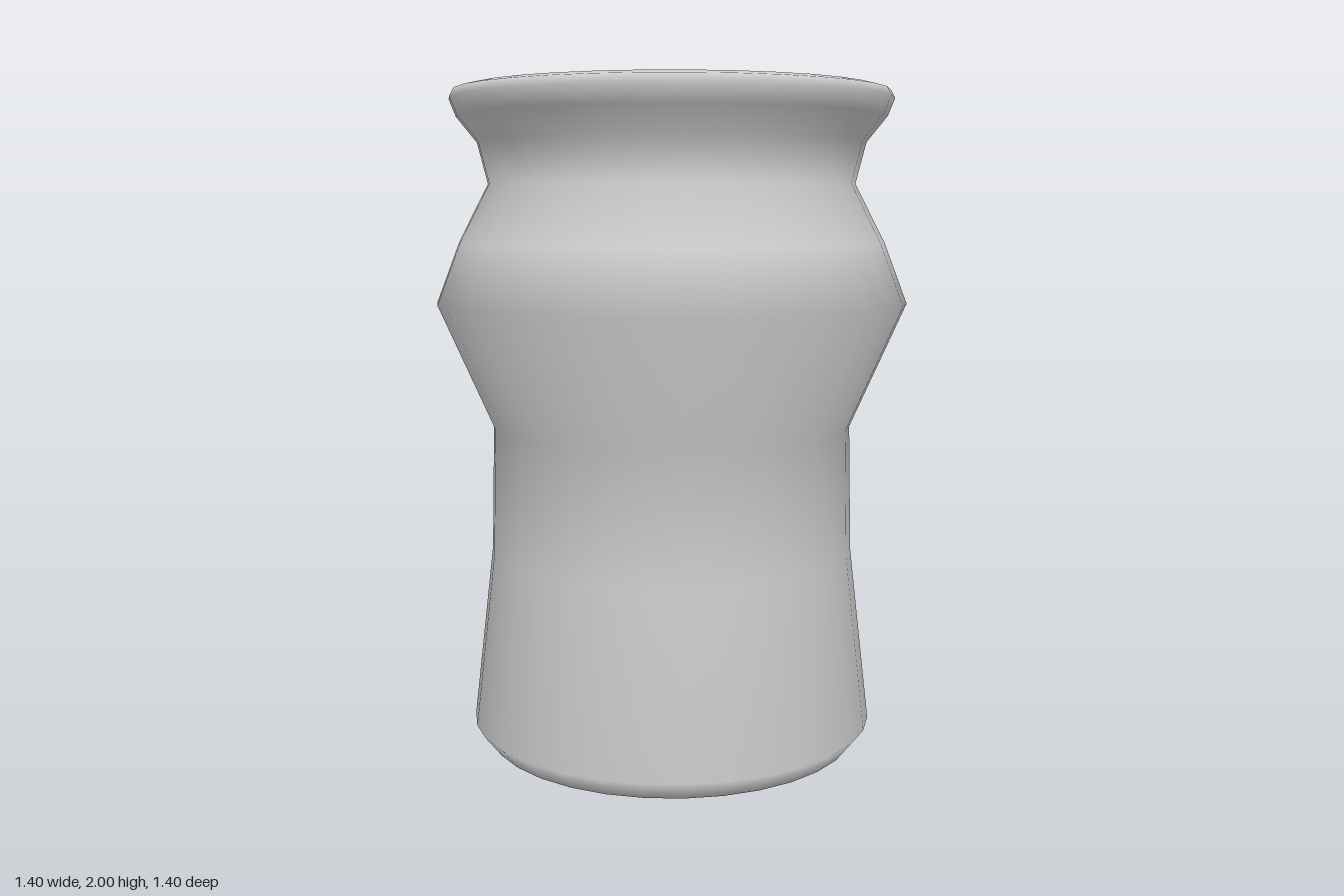
import * as THREE from 'three';

const SEGMENTS = 32;

// Outside of the jar, from the middle of the base up to the crown of the lip
const outer = [
  [0, 0], [0.41, 0.004], [0.565, 0.03], [0.612, 0.09], [0.55, 0.62], [0.54, 1.0],
  [0.702, 1.37], [0.633, 1.55], [0.545, 1.72], [0.575, 1.84], [0.635, 1.915],
  [0.655, 1.965], [0.642, 1.99], [0.6, 2.0],
];

// Inside, from the lip through the narrow neck and belly down to the floor
const inner = [
  [0.572, 1.985], [0.545, 1.9], [0.525, 1.82], [0.503, 1.72], [0.59, 1.55], [0.655, 1.37],
  [0.475, 1.0], [0.475, 0.62], [0.49, 0.16], [0.37, 0.07], [0, 0.06],
];

export function createModel() {
  const group = new THREE.Group();
  group.name = 'jar';

  // One hollow turned body with smooth normals
  const profile = [...outer, ...inner].map(([r, y]) => new THREE.Vector2(r, y));
  const body = new THREE.Mesh(
    new THREE.LatheGeometry(profile, SEGMENTS),
    new THREE.MeshStandardMaterial({ color: 0xcccccc }),
  );
  body.name = 'jarBody';
  group.add(body);
  return group;
}
